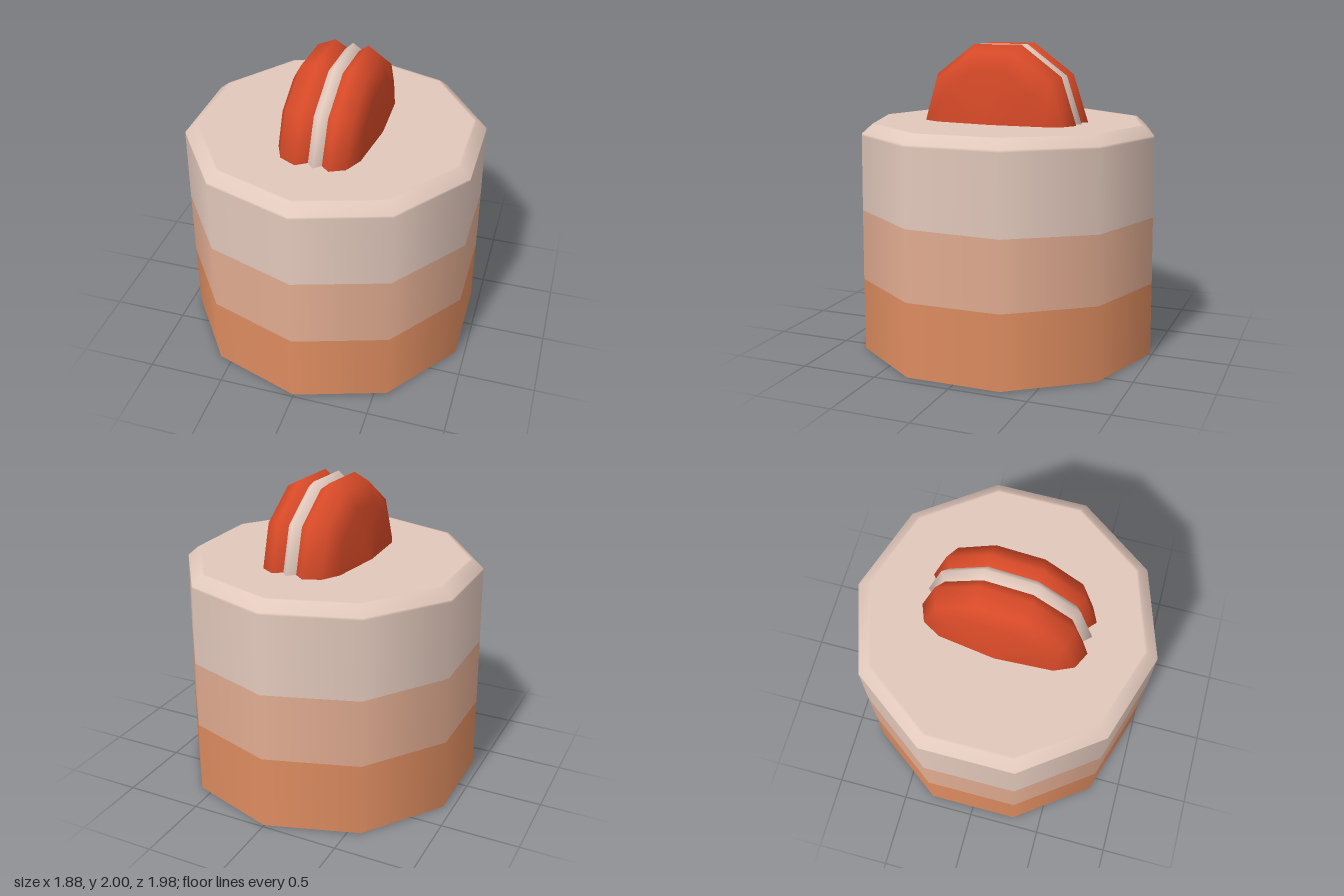
import * as THREE from 'three';

const SIDES = 10;
const flat = (name, color) => {
  const m = new THREE.MeshStandardMaterial({ color });
  m.name = name;
  return m;
};

// Ten-sided turned part from [radius, height] pairs, listed bottom to top
function turned(name, points, material) {
  const geometry = new THREE.LatheGeometry(points.map(([r, y]) => new THREE.Vector2(r, y)), SIDES);
  const mesh = new THREE.Mesh(geometry, material);
  mesh.name = name;
  return mesh;
}

export function createModel() {
  const cream = flat('cream', 0xe2c8bc);
  const peach = flat('peach', 0xe0ab90);
  const caramel = flat('caramel', 0xdd8c60);
  const crust = flat('golden crust', 0xda9c4c);
  const red = flat('red biscuit', 0xd84a28);
  const model = new THREE.Group();
  model.name = 'layerCake';

  // Cake layers, tapering slightly towards the top
  const seam = 0.93;
  const bottomLayer = turned('bottomLayer', [[0.988, 0.004], [0.985, 0.48]], caramel);
  const middleLayer = turned('middleLayer', [[0.985, 0.48], [0.98, seam]], peach);
  const topLayer = turned('topLayer', [
    [0.98, seam], [0.973, 1.425], [0.972, 1.44], [0.903, 1.5], [0.885, 1.5], [0, 1.5],
  ], cream);

  // The upper seam runs a little higher at the front
  for (const layer of [middleLayer, topLayer]) {
    const p = layer.geometry.attributes.position;
    for (let i = 0; i < p.count; i++) {
      if (Math.abs(p.getY(i) - seam) < 1e-4) p.setY(i, seam + 0.015 * p.getZ(i));
    }
  }

  // Underside, with its rim shaded softly into the wall
  const underside = turned('underside', [[0, 0], [0.988, 0.004]], crust);
  const pos = underside.geometry.attributes.position;
  const nor = underside.geometry.attributes.normal;
  const n = new THREE.Vector3();
  for (let i = 0; i < pos.count; i++) {
    n.set(pos.getX(i), -0.2, pos.getZ(i)).normalize();
    nor.setXYZ(i, n.x, n.y, n.z);
  }
  model.add(bottomLayer, middleLayer, topLayer, underside);

  // Sandwich biscuit standing on edge, half sunk in the cake
  const biscuit = new THREE.Group();
  biscuit.name = 'sandwichBiscuit';
  const shell = [[0.49, 0.045], [0.54, 0.115], [0.49, 0.225], [0.37, 0.285], [0, 0.32]];
  const leftShell = turned('leftShell', shell.map(([r, y]) => [r, y * 0.86]), red);
  const rightShell = turned('rightShell', shell.map(([r, y]) => [r, -y]).reverse(), red);
  const filling = turned('filling', [[0.49, -0.048], [0.538, 0], [0.49, 0.048]], cream);
  for (const part of [leftShell, rightShell, filling]) {
    part.rotation.z = -Math.PI / 2;
    biscuit.add(part);
  }
  biscuit.position.set(0.04, 1.487, 0.015);
  biscuit.rotation.set(0, -0.05, -0.03);
  model.add(biscuit);

  return model;
}
